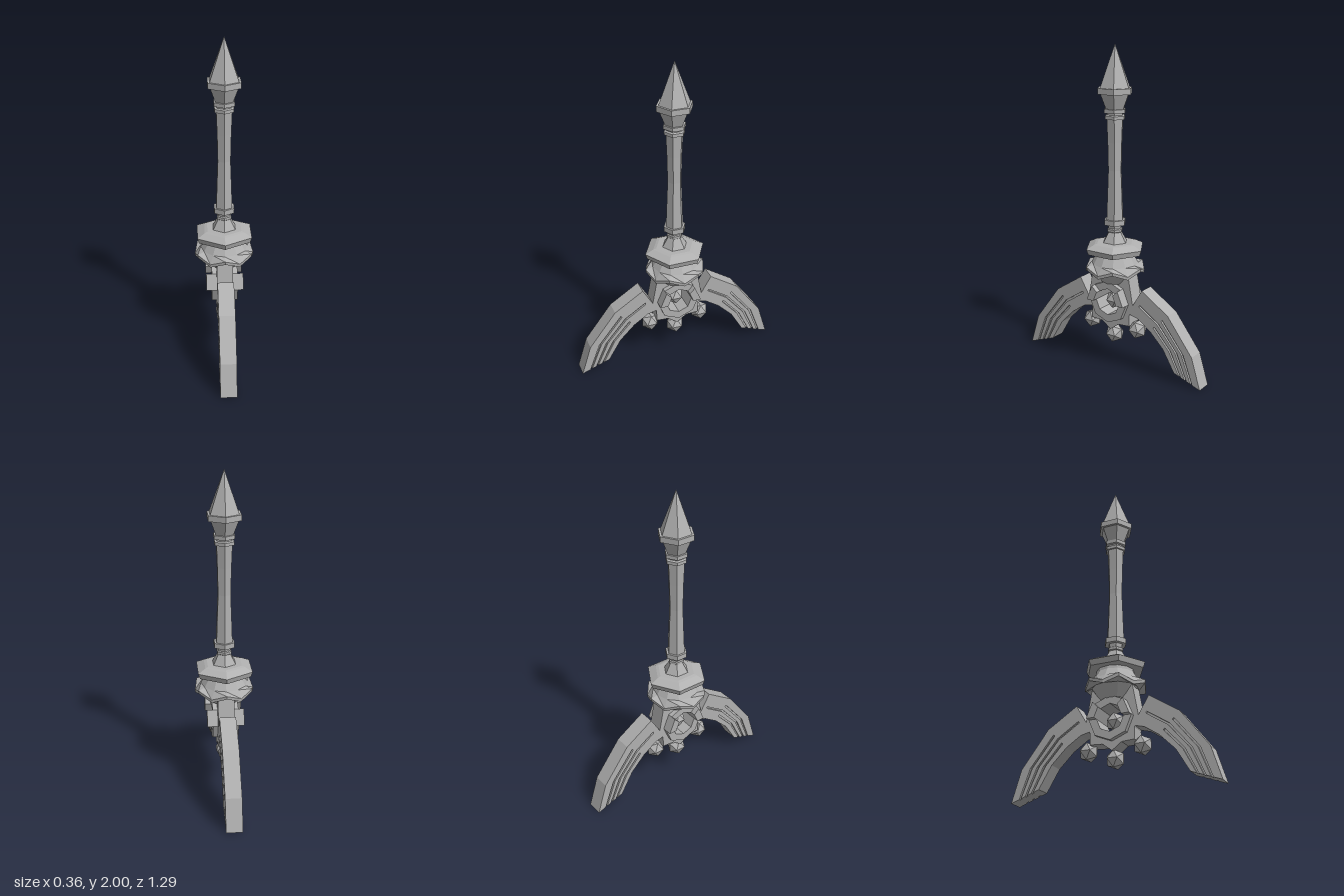
import * as THREE from 'three';

const stone = new THREE.MeshStandardMaterial({ color: 0xb0b0b0, flatShading: true });
stone.name = 'grey stone';

function add(parent, name, geometry) {
  const mesh = new THREE.Mesh(geometry, stone);
  mesh.name = name;
  parent.add(mesh);
  return mesh;
}

// Slab from an outline in (z, y), centred on x = 0
function slab(points, halfX, hole) {
  const shape = new THREE.Shape(points.map(([z, y]) => new THREE.Vector2(z, y)));
  if (hole) shape.holes.push(new THREE.Path(hole.map(([z, y]) => new THREE.Vector2(z, y))));
  const g = new THREE.ExtrudeGeometry(shape, { depth: halfX * 2, bevelEnabled: false });
  return g.translate(0, 0, -halfX).rotateY(-Math.PI / 2);
}

// Lathe with corners on +z and -z; profile runs from bottom to top
function turned(profile, sides = 6) {
  return new THREE.LatheGeometry(profile.map(([r, y]) => new THREE.Vector2(r, y)), sides);
}

const HUB_Y = 0.43;
const octagon = (r, i) => {
  const a = i * Math.PI / 4;
  return [r * Math.cos(a), HUB_Y + r * Math.sin(a)];
};

function makeLeg(side) {
  const leg = new THREE.Group();
  const outer = [[0.165, 0.43], [0.23, 0.54], [0.415, 0.42], [0.585, 0.195], [0.645, 0]];
  const inner = [[0.14, 0.37], [0.2, 0.355], [0.29, 0.295], [0.385, 0.2], [0.465, 0.065]];
  const at = (i, u) => [0, 1].map(k => inner[i][k] + (outer[i][k] - inner[i][k]) * u);
  const band = (u0, u1, from, to, halfX, name) => {
    const pts = [];
    for (let i = from; i <= to; i++) pts.push(at(i, u0));
    for (let i = to; i >= from; i--) pts.push(at(i, u1));
    add(leg, name, slab(pts.map(([z, y]) => [z * side, y]), halfX));
  };
  // Solid upper end, then ridges separated by sunken grooves
  band(0, 1, 0, 1, 0.05, 'legRoot');
  const cuts = [0, 0.2, 0.27, 0.42, 0.49, 0.64, 0.71, 1];
  for (let i = 0; i < cuts.length - 1; i++) {
    const groove = i % 2 === 1;
    if (groove && i !== 3) {
      band(cuts[i], cuts[i + 1], 1, 2, 0.05, 'legRidge');
      band(cuts[i], cuts[i + 1], 2, 4, 0.036, 'legGroove');
    } else {
      band(cuts[i], cuts[i + 1], 1, 4, groove ? 0.036 : 0.05, groove ? 'legGroove' : 'legRidge');
    }
  }
  return leg;
}

// Scalloped collar: the rim is raised at every other corner
function collarGeometry() {
  const profile = [[0.085, 0.55], [0.14, 0.625], [0.18, 0.605], [0.182, 0.625],
    [0.145, 0.67], [0.115, 0.72], [0.11, 0.75]];
  const g = turned(profile, 12);
  const pos = g.attributes.position;
  for (let i = 0; i < pos.count; i++) {
    const corner = Math.floor(i / profile.length), row = i % profile.length;
    if (corner % 2 === 0 && (row === 2 || row === 3)) {
      pos.setXYZ(i, pos.getX(i) * 1.05, pos.getY(i) + 0.035, pos.getZ(i) * 1.05);
    }
  }
  return g;
}

export function createModel() {
  const model = new THREE.Group();
  model.name = 'ornamentalSpire';

  // Pointed finial
  add(model, 'finial', turned([[0, 1.6], [0.055, 1.61], [0.095, 1.71], [0.112, 1.71],
    [0.112, 1.745], [0.098, 1.745], [0, 2]]));

  // Shaft with its mouldings
  add(model, 'shaft', turned([[0.07, 0.913], [0.07, 0.945], [0.056, 0.945], [0.05, 1.1],
    [0.044, 1.25], [0.048, 1.42], [0.054, 1.56], [0.066, 1.56], [0.066, 1.58],
    [0.052, 1.585], [0.052, 1.595], [0.07, 1.597], [0.07, 1.62], [0.05, 1.622]]));
  add(model, 'shaftFoot', turned([[0.09, 0.79], [0.08, 0.8], [0.043, 0.865], [0.05, 0.87],
    [0.05, 0.885], [0.042, 0.89], [0.045, 0.913], [0.07, 0.913]]));

  // Wide hexagonal disc
  add(model, 'disc', turned([[0.1, 0.74], [0.18, 0.738], [0.192, 0.772], [0.14, 0.797],
    [0.12, 0.802], [0.04, 0.802]]));
  add(model, 'collar', collarGeometry());

  // Central bracket with an octagonal opening
  const half = [[0.13, 0.62], [0.165, 0.43], [0.14, 0.36], [0.14, 0.29], [0.06, 0.285]];
  const outline = [...half, [0, 0.24], ...half.map(([z, y]) => [-z, y]).reverse()];
  const hole = [0, 1, 2, 3, 4, 5, 6, 7].map(i => octagon(0.085, i));
  add(model, 'bracket', slab(outline, 0.05, hole));

  // Octagonal ring, with the two upper side segments standing proud
  const ring = new THREE.Group();
  ring.name = 'ring';
  for (let i = 0; i < 8; i++) {
    const proud = i === 0 || i === 3;
    add(ring, 'ringSegment', slab([octagon(0.085, i), octagon(0.135, i),
      octagon(0.135, i + 1), octagon(0.085, i + 1)], proud ? 0.115 : 0.08));
  }
  model.add(ring);

  // Faceted gems: one inside the ring, three hanging below
  for (const [z, y, r] of [[0, 0.425, 0.058], [0, 0.2, 0.06], [0.17, 0.263, 0.06], [-0.17, 0.263, 0.06]]) {
    add(model, 'gem', new THREE.IcosahedronGeometry(r, 0)).position.set(0, y, z);
  }

  // Front and back legs
  for (const side of [1, -1]) {
    const leg = makeLeg(side);
    leg.name = side > 0 ? 'frontLeg' : 'backLeg';
    model.add(leg);
  }
  return model;
}
